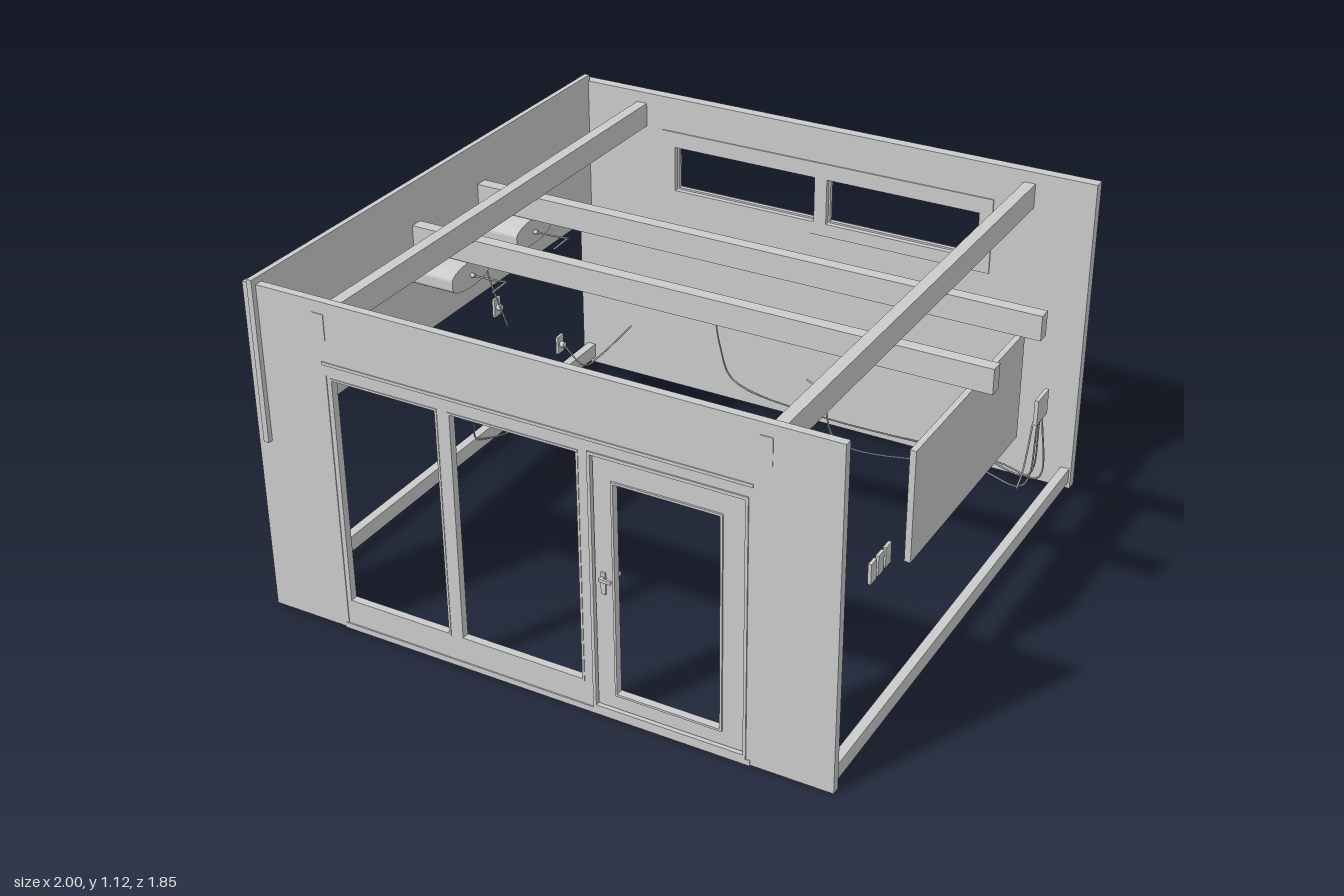
import * as THREE from 'three';

const mat = new THREE.MeshStandardMaterial({ color: 0xcccccc, side: THREE.DoubleSide });

export function createModel() {
  const root = new THREE.Group();
  const add = (name, geo) => {
    const m = new THREE.Mesh(geo, mat);
    m.name = name;
    root.add(m);
    return m;
  };
  // box from its centre and size
  const box = (name, x, y, z, w, h, d) => add(name, new THREE.BoxGeometry(w, h, d).translate(x, y, z));
  const rect = (P, x0, x1, y0, y1) => new P().moveTo(x0, y0).lineTo(x1, y0).lineTo(x1, y1).lineTo(x0, y1).closePath();
  // upright slab with rectangular holes, centred on depth z
  const slab = (name, outline, holes, z, depth) => {
    const shape = rect(THREE.Shape, ...outline);
    holes.forEach(h => shape.holes.push(rect(THREE.Path, ...h)));
    const g = new THREE.ExtrudeGeometry(shape, { depth, bevelEnabled: false });
    add(name, g.translate(0, 0, z - depth / 2));
  };
  // thin rim around the inside of an opening
  const seal = ([a, b, c, d], t, z, depth) =>
    slab('paneSeal', [a, b, c, d], [[a + t, b - t, c + t, d - t]], z, depth);
  const tube = (name, r, ...pts) => {
    const c = new THREE.CatmullRomCurve3(pts.map(p => new THREE.Vector3(...p)), false, 'centripetal');
    add(name, new THREE.TubeGeometry(c, pts.length * 8, r, 6));
  };
  // round part lying along x
  const knob = (name, r, length, x, y, z) =>
    add(name, new THREE.CylinderGeometry(r, r, length, 12).rotateZ(Math.PI / 2).translate(x, y, z));

  // front wall: two piers and the band above the glazing
  slab('frontWallBand', [-0.98, 0.905, 0.868, 1.1], [], 0.895, 0.026);
  slab('frontWallPier', [-0.98, -0.71, 0.005, 0.868], [], 0.895, 0.026);
  slab('frontWallPier', [0.637, 0.905, 0.005, 0.868], [], 0.895, 0.026);
  box('lintelTrim', -0.035, 0.905, 0.905, 1.37, 0.01, 0.012);
  box('threshold', -0.035, 0.012, 0.897, 1.37, 0.019, 0.026);

  // glazed front: window frame, door frame and door leaf
  const panes = [[-0.7, -0.335, 0.1, 0.86], [-0.3, 0.12, 0.1, 0.86]];
  const doorPane = [0.22, 0.56, 0.085, 0.79];
  slab('windowFrame', [-0.71, 0.15, 0.015, 0.868], panes, 0.893, 0.025);
  slab('doorFrame', [0.15, 0.637, 0.02, 0.868], [[0.16, 0.628, 0.035, 0.858]], 0.895, 0.034);
  slab('doorLeaf', [0.163, 0.625, 0.038, 0.855], [doorPane], 0.893, 0.018);
  [...panes, doorPane].forEach(p => seal(p, 0.007, 0.895, 0.025));

  // door handle on both faces, and the closer with its folding arms
  for (const s of [1, -1]) {
    box('handlePlate', 0.19, 0.455, 0.893 + s * 0.012, 0.015, 0.07, 0.006);
    box('handleLever', 0.203, 0.473, 0.893 + s * 0.026, 0.038, 0.01, 0.008);
    box('handleStem', 0.19, 0.473, 0.893 + s * 0.018, 0.008, 0.01, 0.012);
    tube('closerArm', 0.005, [0.527 + s * 0.023, 0.868, 0.88], [0.527, 0.868, 0.75]);
  }
  box('doorCloser', 0.544, 0.834, 0.857, 0.128, 0.044, 0.046);
  box('closerPivot', 0.55, 0.864, 0.855, 0.016, 0.02, 0.016);

  // back wall with two high windows and a casing on its outer face
  const high = [[-0.59, -0.06, 0.765, 0.925], [-0.015, 0.525, 0.765, 0.925]];
  slab('backWall', [-0.98, 0.905, 0.005, 1.1], high, -0.904, 0.037);
  slab('backCasing', [-0.64, 0.57, 0.72, 0.98], high, -0.905, 0.048);
  high.forEach(p => seal(p, 0.006, -0.907, 0.015));

  // side parts: upper panel, floor beams and hanging board
  box('sidePanel', -0.941, 0.856, 0.016, 0.018, 0.527, 1.818);
  for (const x of [-0.946, 0.884]) box('floorBeam', x, 0.053, 0, 0.03, 0.053, 1.768);
  box('wallBoard', 0.87, 0.625, -0.003, 0.019, 0.361, 0.795);

  // roof beams: two lengthwise above two crosswise
  for (const x of [-0.72, 0.685]) box('longBeam', x, 1.021, 0.011, 0.038, 0.082, 1.798);

  // cross beams, each with an oval wall unit and its loose lead below
  for (const z of [-0.217, 0.143]) {
    box('crossBeam', 0, 0.94, z, 2, 0.08, 0.042);
    const pts = [];
    for (let i = 0; i < 34; i++) {
      const s = i < 17 ? 1 : -1;
      const a = Math.PI * (i % 17) / 16;
      pts.push(new THREE.Vector2(0.102 * s * Math.cos(a), s * (0.014 + 0.03 * Math.sin(a))));
    }
    const g = new THREE.ExtrudeGeometry(new THREE.Shape(pts), { depth: 0.185, bevelEnabled: false });
    add('wallUnit', g.rotateY(-Math.PI / 2).translate(-0.735, 0.852, z));
    box('unitMount', -0.925, 0.85, z, 0.019, 0.04, 0.1);
    knob('unitSocket', 0.007, 0.02, -0.73, 0.848, z);
    tube('unitLead', 0.003, [-0.72, 0.848, z], [-0.65, 0.85, z], [-0.62, 0.842, z - 0.02],
      [-0.64, 0.825, z - 0.04], [-0.7, 0.77, z - 0.06]);
  }

  // switches, sockets and junction box
  for (const z of [0.642, 0.595, 0.548]) {
    box('switchPlate', 0.873, 0.56, z, 0.01, 0.065, 0.036);
    for (const y of [0.545, 0.572]) box('switchButton', 0.866, y, z, 0.008, 0.01, 0.01);
  }
  for (const [y, z] of [[0.183, -0.362], [0.183, -0.66], [0.5, -0.28]]) {
    box('socketPlate', -0.94, y, z, 0.01, 0.066, 0.036);
    knob('plug', 0.011, 0.018, -0.928, y, z);
  }
  box('junctionBox', 0.873, 0.438, -0.622, 0.013, 0.087, 0.089);

  // cables from the junction box along the back corner
  tube('cable', 0.003, [-0.39, 0.43, -0.79], [-0.375, 0.24, -0.815], [-0.345, 0.09, -0.865],
    [0, 0.05, -0.85], [0.65, 0.05, -0.86], [0.84, 0.1, -0.75], [0.87, 0.4, -0.65]);
  tube('cable', 0.003, [-0.03, 0.21, -0.8], [0.04, 0.19, -0.78], [0.13, 0.06, -0.71],
    [0.6, 0.05, -0.79], [0.78, 0.05, -0.75], [0.87, 0.4, -0.62]);
  tube('cable', 0.003, [0.48, 0.11, -0.84], [0.6, 0.05, -0.87], [0.77, 0.05, -0.82], [0.87, 0.4, -0.635]);
  tube('cable', 0.003, [0.865, 0.4, -0.583], [0.865, 0.25, -0.52], [0.865, 0.213, -0.475]);

  // cables from the wall sockets
  tube('cable', 0.003, [-0.925, 0.183, -0.66], [-0.87, 0.09, -0.71], [-0.85, 0.1, -0.78], [-0.75, 0.22, -0.84]);
  tube('cable', 0.003, [-0.925, 0.183, -0.362], [-0.87, 0.06, -0.32], [-0.93, 0.07, -0.12], [-0.89, 0.185, -0.04]);
  tube('cable', 0.003, [-0.925, 0.5, -0.28], [-0.87, 0.46, -0.24], [-0.92, 0.7, -0.2], [-0.92, 0.83, -0.217]);

  return root;
}
